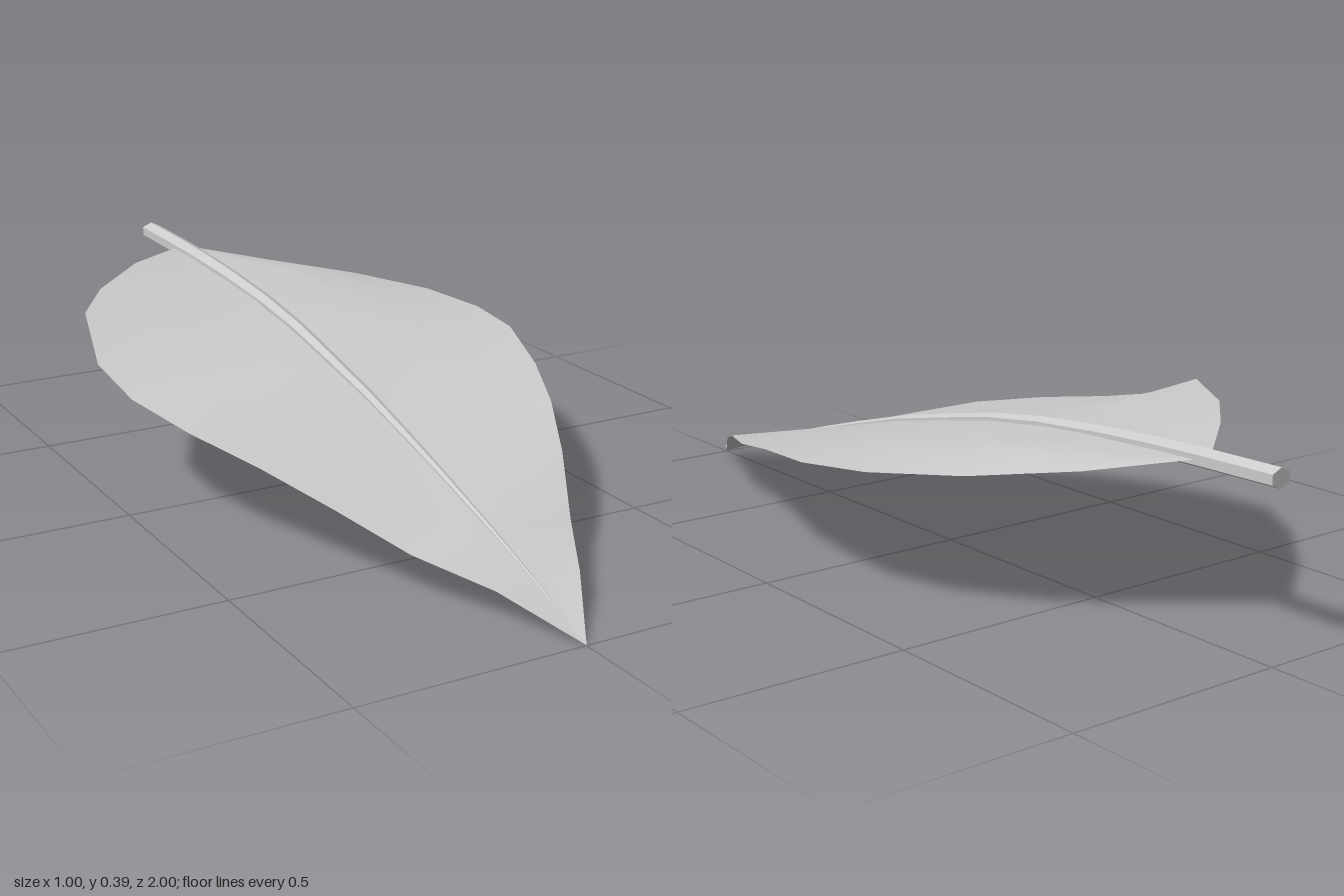
import * as THREE from 'three';

// Leaf rows, base to tip: z, rib height, half width, left edge y, right edge y, bulge of the left half (+x)
const ROWS = [
  [-0.80, 0.372, 0.02, 0.372, 0.372, 0],
  [-0.66, 0.367, 0.19, 0.346, 0.385, 0.008],
  [-0.50, 0.358, 0.35, 0.328, 0.377, 0.022],
  [-0.32, 0.343, 0.46, 0.315, 0.378, 0.01],
  [-0.15, 0.320, 0.50, 0.305, 0.308, 0.004],
  [0.01, 0.288, 0.488, 0.297, 0.272, 0],
  [0.19, 0.250, 0.437, 0.263, 0.243, 0],
  [0.36, 0.206, 0.362, 0.235, 0.210, 0],
  [0.52, 0.162, 0.28, 0.183, 0.162, 0],
  [0.68, 0.115, 0.19, 0.103, 0.103, 0],
  [0.84, 0.063, 0.098, 0.07, 0.07, 0],
  [1.00, 0.003, 0, 0.003, 0.003, 0],
];

// Skin a list of equally long cross-sections
function loft(sections, closed) {
  const n = sections[0].length;
  const index = [];
  for (let i = 0; i < sections.length - 1; i++) {
    for (let j = 0; j < (closed ? n : n - 1); j++) {
      const a = i * n + j, b = i * n + (j + 1) % n;
      index.push(a, a + n, b, b, a + n, b + n);
    }
  }
  const geometry = new THREE.BufferGeometry();
  geometry.setAttribute('position', new THREE.Float32BufferAttribute(sections.flat(2), 3));
  geometry.setIndex(index);
  return geometry;
}

function createBlade() {
  const sections = ROWS.map(([z, rib, w, left, right, bulge]) =>
    [-1, -0.7, -0.4, 0, 0.4, 0.7, 1].map((t) => {
      const s = Math.abs(t);
      const y = THREE.MathUtils.lerp(rib, t > 0 ? left : right, s);
      return [t * w, y + (t > 0 ? bulge * Math.sin(Math.PI * s) : 0), z];
    }));
  const geometry = loft(sections, false);
  geometry.computeVertexNormals();
  return new THREE.Mesh(geometry, new THREE.MeshStandardMaterial({ color: 0xcccccc, side: THREE.DoubleSide }));
}

function createStem() {
  // Six-sided rib with a ridge on top, tapering to the leaf tip
  const path = [[-1, 0.376], ...ROWS];
  const sections = path.map(([z, y]) => {
    const r = z < -0.8 ? 1 : Math.max(0.02, 1 - ((z + 0.8) / 1.8) ** 1.3);
    return Array.from({ length: 6 }, (_, k) => {
      const a = Math.PI / 2 - k * Math.PI / 3;
      return [Math.cos(a) * 0.027 * r, y + Math.sin(a) * 0.021 * r, z];
    });
  });
  // Cap the cut end by starting from a single point
  sections.unshift(Array.from({ length: 6 }, () => [0, 0.376, -1]));
  return new THREE.Mesh(loft(sections, true),
    new THREE.MeshStandardMaterial({ color: 0xcccccc, flatShading: true, side: THREE.DoubleSide }));
}

export function createModel() {
  const leaf = new THREE.Group();
  leaf.name = 'leaf';
  const blade = createBlade();
  blade.name = 'leafBlade';
  const stem = createStem();
  stem.geometry = stem.geometry.toNonIndexed();
  stem.geometry.computeVertexNormals();
  stem.name = 'stem';
  leaf.add(blade, stem);
  return leaf;
}
